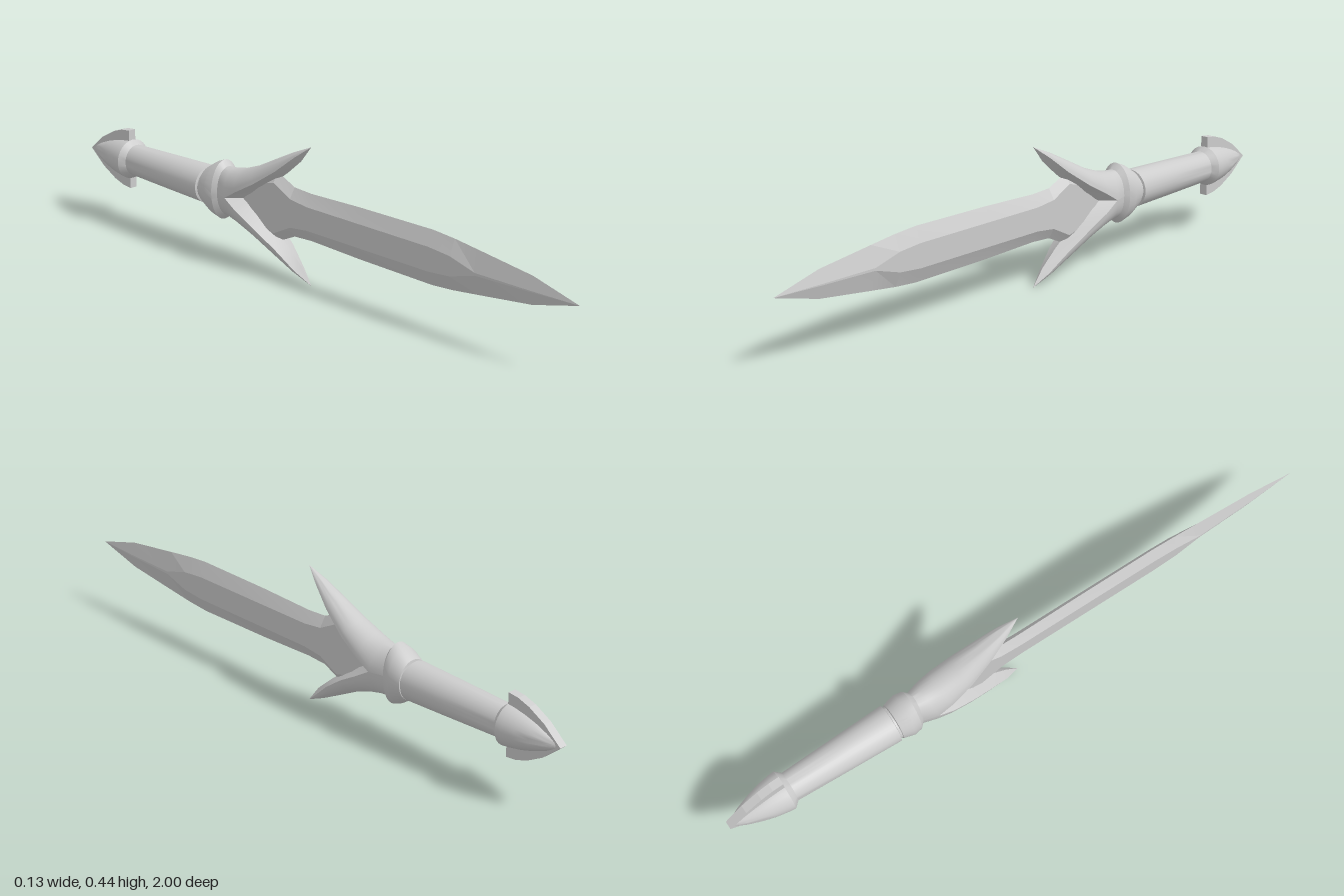
import * as THREE from 'three';
import { toCreasedNormals } from 'three/addons/utils/BufferGeometryUtils.js';

// Skin a list of equally long rows of [x, y, z] points.
function skin(rows, crease) {
  const n = rows[0].length;
  const index = [];
  for (let r = 0; r < rows.length - 1; r++) {
    for (let c = 0; c < n - 1; c++) {
      const a = r * n + c, b = a + n;
      index.push(a, b, a + 1, a + 1, b, b + 1);
    }
  }
  const geo = new THREE.BufferGeometry();
  geo.setAttribute('position', new THREE.Float32BufferAttribute(rows.flat(2), 3));
  geo.setIndex(index);
  return toCreasedNormals(geo, crease);
}

// Elliptical body along z from [z, radiusX, radiusY] stations, front to back.
function turned(stations, crease = 0.5) {
  return skin(stations.map(([z, rx, ry]) => {
    const ring = [];
    for (let i = 0; i <= 32; i++) {
      const a = (i / 32) * Math.PI * 2;
      ring.push([-rx * Math.sin(a), ry * Math.cos(a), z]);
    }
    return ring;
  }), crease);
}

export function createModel() {
  const steel = new THREE.MeshStandardMaterial({ color: 0xcccccc, side: THREE.DoubleSide });
  steel.name = 'steel';
  const model = new THREE.Group();
  model.name = 'dagger';
  const body = new THREE.Group();
  body.name = 'daggerBody';
  body.position.y = 0.22;
  model.add(body);

  const add = (name, geo, parent = body) => {
    const mesh = new THREE.Mesh(geo, steel);
    mesh.name = name;
    parent.add(mesh);
    return mesh;
  };

  // Blade: hexagonal sections [z, edge height, flat height, half thickness]
  const blade = [
    [1, 0, 0, 0], [0.84, 0.042, 0.002, 0.011], [0.65, 0.066, 0.004, 0.018],
    [0.56, 0.077, 0.03, 0.02], [0.48, 0.083, 0.037, 0.02], [0.2, 0.08, 0.037, 0.02],
    [0, 0.074, 0.037, 0.02], [-0.07, 0.078, 0.045, 0.02], [-0.14, 0.11, 0.08, 0.02],
    [-0.22, 0.09, 0.06, 0.02], [-0.28, 0.06, 0.03, 0.02],
  ];
  add('blade', skin(blade.map(([z, h, c, t]) => [
    [0, h, z], [-t, c, z], [-t, -c, z], [0, -h, z], [t, -c, z], [t, c, z], [0, h, z],
  ]), 0.12));

  // Guard horn: [half width, side y, side z, back y, back z, front y, front z]
  const horn = [
    [0, 0.218, 0, 0.218, 0, 0.218, 0],
    [0.021, 0.178, -0.052, 0.188, -0.07, 0.165, -0.042],
    [0.038, 0.125, -0.115, 0.153, -0.14, 0.115, -0.1],
    [0.054, 0.07, -0.195, 0.112, -0.22, 0.06, -0.175],
    [0.061, 0.03, -0.265, 0.088, -0.285, 0.02, -0.225],
    [0.059, 0, -0.315, 0.079, -0.33, 0, -0.25],
    [0.042, 0, -0.375, 0.077, -0.375, 0, -0.25],
  ];
  const hornBack = skin(horn.map(([w, sy, sz, by, bz]) => {
    const row = [];
    for (let i = 0; i <= 16; i++) {
      const a = (i / 16) * Math.PI, s = Math.sin(a);
      row.push([w * Math.cos(a), sy + (by - sy) * s, sz + (bz - sz) * s]);
    }
    return row;
  }), 0.7);
  const hornFront = (side) => skin(horn.slice(0, 6).map(([w, sy, sz, , , fy, fz]) => {
    const edge = [side * w, sy, sz], ridge = [0, fy, fz];
    return side < 0 ? [edge, ridge] : [ridge, edge];
  }), 0.7);
  for (const [name, turn] of [['upperGuardHorn', 0], ['lowerGuardHorn', Math.PI]]) {
    const group = new THREE.Group();
    group.name = name;
    group.rotation.z = turn;
    body.add(group);
    add(name + 'Back', hornBack, group);
    add(name + 'FrontLeft', hornFront(1), group);
    add(name + 'FrontRight', hornFront(-1), group);
  }

  // Flared collar between guard and grip
  add('collar', turned([
    [-0.355, 0.04, 0.074], [-0.375, 0.058, 0.096], [-0.4, 0.064, 0.086],
    [-0.437, 0.056, 0.062], [-0.44, 0.04, 0.04],
  ]));

  // Tapered grip
  add('grip', turned([
    [-0.43, 0.053, 0.053], [-0.444, 0.053, 0.053], [-0.446, 0.06, 0.06],
    [-0.6, 0.054, 0.056], [-0.8, 0.046, 0.05],
  ]));

  // Pointed pommel
  add('pommel', turned([
    [-0.79, 0.045, 0.049], [-0.81, 0.063, 0.064], [-0.83, 0.061, 0.062],
    [-0.87, 0.054, 0.055], [-0.91, 0.043, 0.044], [-0.95, 0.029, 0.029],
    [-0.98, 0.015, 0.015], [-1, 0, 0],
  ]));

  // Upright fin running over the pommel
  const half = [[-0.81, 0.097], [-0.845, 0.093], [-0.885, 0.08], [-0.94, 0.05]];
  const outline = [...half, [-1, 0], ...half.map(([z, y]) => [z, -y]).reverse()];
  const fin = new THREE.ExtrudeGeometry(
    new THREE.Shape(outline.map(([z, y]) => new THREE.Vector2(z, y))),
    { depth: 0.026, bevelEnabled: false });
  fin.translate(0, 0, -0.013);
  fin.rotateY(-Math.PI / 2);
  add('pommelFin', fin);

  return model;
}
